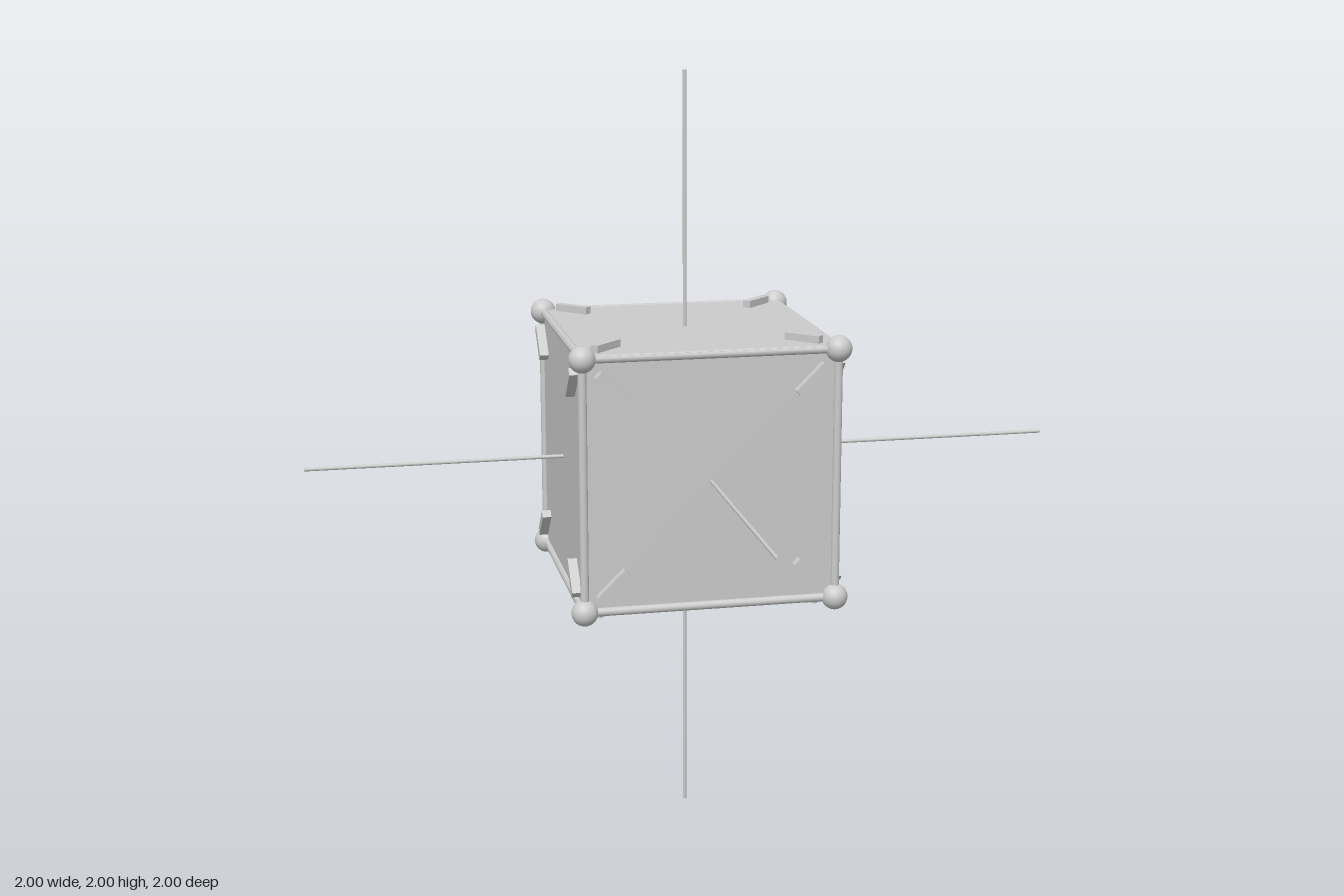
import * as THREE from 'three';

const HALF = 0.327; // half distance between corner centres

export function createModel() {
  const model = new THREE.Group();
  const frame = new THREE.Group();
  frame.position.y = 1;
  model.add(frame);
  const material = new THREE.MeshStandardMaterial({ color: 0xcccccc });

  const add = (name, geometry, x = 0, y = 0, z = 0, parent = frame) => {
    const mesh = new THREE.Mesh(geometry, material);
    mesh.name = name;
    mesh.position.set(x, y, z);
    parent.add(mesh);
    return mesh;
  };
  // Turn a y-aligned rod onto axis 0 (x), 1 (y) or 2 (z)
  const align = (mesh, axis) => {
    if (axis === 0) mesh.rotation.z = Math.PI / 2;
    if (axis === 2) mesh.rotation.x = Math.PI / 2;
  };

  // Cube body, with a top panel that covers the upper rods
  add('cubeBody', new THREE.BoxGeometry(2 * HALF, 2 * HALF, 2 * HALF));
  add('topPanel', new THREE.BoxGeometry(0.67, 0.006, 0.67), 0, 0.332, 0);

  // Edge rods and the three long axis rods
  const edge = new THREE.CylinderGeometry(0.011, 0.011, 2 * HALF, 16);
  const axisRod = new THREE.CylinderGeometry(0.005, 0.005, 2, 12);
  for (let axis = 0; axis < 3; axis++) {
    align(add('axisRod', axisRod), axis);
    for (const a of [-HALF, HALF]) for (const b of [-HALF, HALF]) {
      const p = [0, 0, 0];
      p[(axis + 1) % 3] = a;
      p[(axis + 2) % 3] = b;
      align(add('edgeRod', edge, ...p), axis);
    }
  }

  // Corner balls
  const ball = new THREE.SphereGeometry(0.034, 24, 16);
  for (const x of [-HALF, HALF]) for (const y of [-HALF, HALF]) for (const z of [-HALF, HALF]) {
    add('cornerBall', ball, x, y, z);
  }

  // Plain raised markers along the diagonals, four on every face
  const marker = new THREE.BoxGeometry(0.1, 0.022, 0.024);
  const faceTurns = [
    [0, 0], [0, Math.PI / 2], [0, Math.PI], [0, -Math.PI / 2],
    [-Math.PI / 2, 0], [Math.PI / 2, 0],
  ];
  for (const [rx, ry] of faceTurns) {
    const face = new THREE.Group();
    face.name = 'faceMarkers';
    face.rotation.set(rx, ry, 0);
    frame.add(face);
    for (const sx of [-1, 1]) for (const sy of [-1, 1]) {
      const m = add('cornerMarker', marker, sx * 0.255, sy * 0.255, 0.342, face);
      m.rotation.z = sx * sy * Math.PI / 4;
    }
  }
  return model;
}
